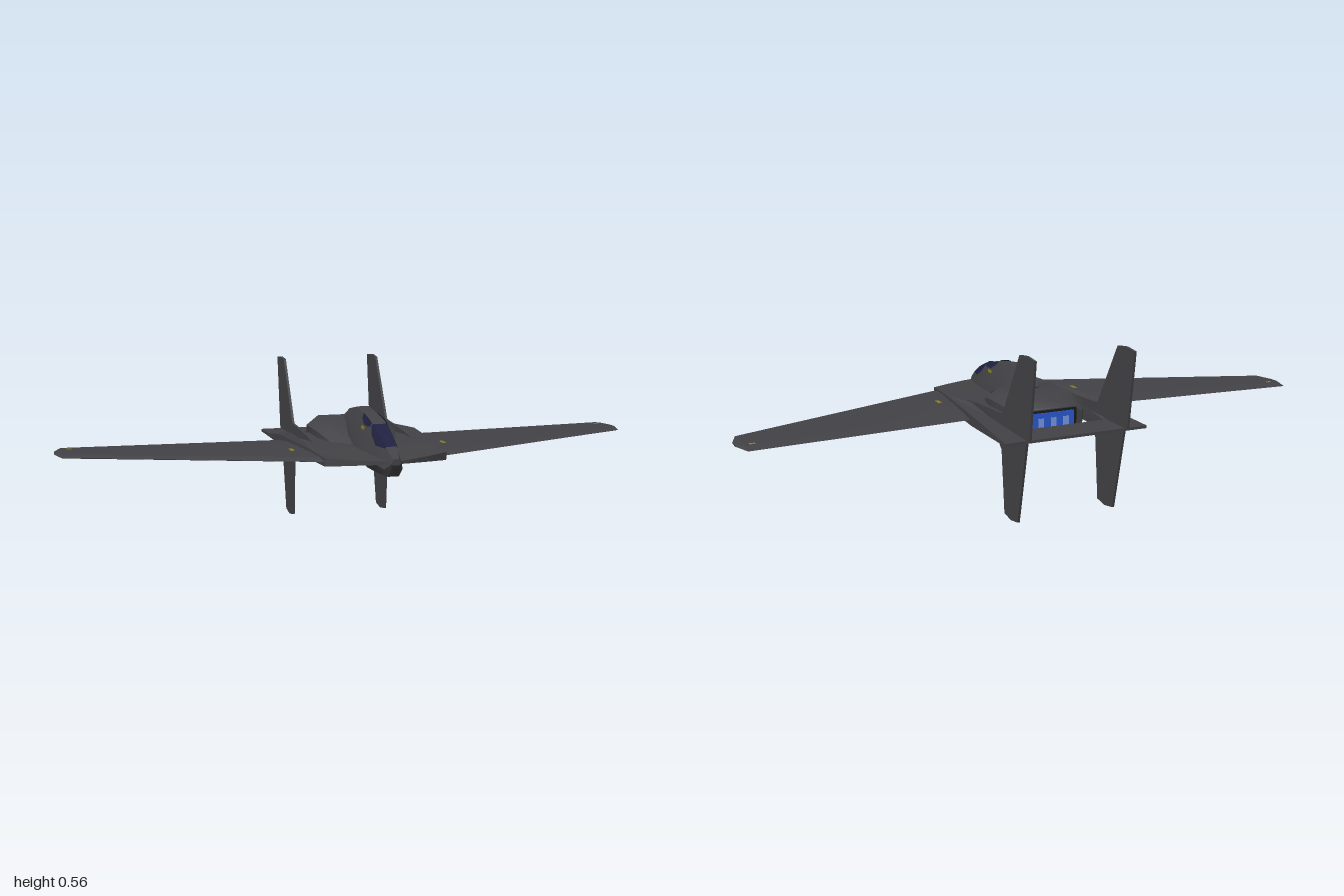
import * as THREE from 'three';
import { toCreasedNormals } from 'three/addons/utils/BufferGeometryUtils.js';

const paint = (name, color, extra = {}) => {
  const m = new THREE.MeshStandardMaterial({ color, ...extra });
  m.name = name;
  return m;
};

// Piecewise-linear lookup in rows [key, values...], keys descending
function lookup(rows, k) {
  let i = 0;
  while (i < rows.length - 2 && k < rows[i + 1][0]) i++;
  const a = rows[i], b = rows[i + 1];
  const t = THREE.MathUtils.clamp((k - a[0]) / (b[0] - a[0]), 0, 1);
  return a.slice(1).map((v, j) => v + (b[j + 1] - v) * t);
}

// Closed solid through equal-length rings of [x, y, z]; faces always turn outward
function loft(rings, crease = 0.5) {
  const tris = [], n = rings[0].length, last = rings[rings.length - 1];
  for (let r = 0; r < rings.length - 1; r++) {
    for (let i = 0; i < n; i++) {
      const j = (i + 1) % n, A = rings[r], B = rings[r + 1];
      tris.push([A[i], A[j], B[j]], [A[i], B[j], B[i]]);
    }
  }
  for (let i = 1; i < n - 1; i++) {
    tris.push([rings[0][0], rings[0][i + 1], rings[0][i]], [last[0], last[i], last[i + 1]]);
  }
  let volume = 0;
  for (const [a, b, c] of tris) {
    const [p, q, s] = [a, b, c].map(v => new THREE.Vector3(v[0], v[1] - 0.3, v[2]));
    volume += p.dot(q.cross(s));
  }
  if (volume < 0) tris.forEach(t => t.reverse());
  const g = new THREE.BufferGeometry();
  g.setAttribute('position', new THREE.Float32BufferAttribute(tris.flat(2), 3));
  return toCreasedNormals(g, crease);
}

// Cockpit pod sections: z, bottom, top, half width, half roof width
const POD = [
  [0.435, 0.30, 0.32, 0.015, 0.01], [0.405, 0.26, 0.337, 0.03, 0.015],
  [0.33, 0.258, 0.375, 0.045, 0.02], [0.24, 0.26, 0.41, 0.058, 0.024],
  [0.18, 0.272, 0.42, 0.06, 0.022], [0.08, 0.30, 0.435, 0.052, 0.02],
  [-0.03, 0.365, 0.413, 0.034, 0.016], [-0.09, 0.384, 0.388, 0.018, 0.01],
];
const podRing = ([z, b, t, w, r]) => {
  const half = [[0.6 * w, b], [w, b + 0.3 * (t - b)], [0.88 * w, b + 0.55 * (t - b)], [r, t]];
  return [...half.map(([x, y]) => [x, y, z]), ...half.reverse().map(([x, y]) => [-x, y, z])];
};

// Glass laid over the pod; stations are [z, lower edge as a fraction from shoulder to roof]
function glass(stations, roof) {
  const pos = [];
  const row = ([z, f]) => {
    const [b, t, w, r] = lookup(POD, z);
    const s = b + 0.55 * (t - b);
    const p = [0.88 * w + (r - 0.88 * w) * f + 0.003, s + (t - s) * f + 0.002, z];
    const q = [r + 0.001, t + 0.003, z];
    const flip = ([x, y, zz]) => [-x, y, zz];
    return [p, q, flip(q), flip(p)];
  };
  for (let k = 0; k < stations.length - 1; k++) {
    const A = row(stations[k]), B = row(stations[k + 1]);
    for (let i = 0; i < 3; i++) {
      if (i === 1 && !roof) continue;
      pos.push(A[i], B[i], B[i + 1], A[i], B[i + 1], A[i + 1]);
    }
  }
  // corners run so that the outside is the front
  for (let i = 0; i < pos.length; i += 3) [pos[i + 1], pos[i + 2]] = [pos[i + 2], pos[i + 1]];
  const g = new THREE.BufferGeometry();
  g.setAttribute('position', new THREE.Float32BufferAttribute(pos.flat(), 3));
  g.computeVertexNormals();
  return g;
}

// Eight-sided section with cut corners: z, bottom, top, half width
const octagon = ([z, b, t, w]) => {
  const h = t - b, c = 0.7 * w;
  return [[c, b], [w, b + 0.22 * h], [w, t - 0.22 * h], [c, t],
    [-c, t], [-w, t - 0.22 * h], [-w, b + 0.22 * h], [-c, b]].map(([x, y]) => [x, y, z]);
};

// Flat centre body with the open bay between the tail booms
function bodyGeometry() {
  const right = [[0.2, 0.335], [0.21, 0.2], [0.235, 0], [0.245, -0.11], [0.248, -0.27], [0.25, -0.385]];
  const outline = [[0, 0.425], [0.06, 0.405], [0.13, 0.373], ...right,
    ...right.slice().reverse().map(([x, z]) => [-x, z]), [-0.13, 0.373], [-0.06, 0.405]];
  const bay = [[0.155, -0.27], [0.14, -0.11], [0.1, -0.09], [-0.1, -0.09], [-0.14, -0.11], [-0.155, -0.27]];
  const pts = list => list.map(([x, z]) => new THREE.Vector2(x, -z));
  const shape = new THREE.Shape(pts(outline));
  shape.holes.push(new THREE.Path(pts(bay)));
  const g = new THREE.ExtrudeGeometry(shape, { depth: 1, bevelEnabled: false });
  g.rotateX(-Math.PI / 2);
  const heights = [[0.425, 0.302, 0.31], [0.33, 0.288, 0.315], [0.1, 0.285, 0.322],
    [-0.11, 0.286, 0.322], [-0.27, 0.288, 0.299], [-0.385, 0.288, 0.297]];
  const p = g.attributes.position;
  for (let i = 0; i < p.count; i++) {
    const [low, high] = lookup(heights, p.getZ(i));
    p.setY(i, p.getY(i) > 0.5 ? high : low);
  }
  g.computeVertexNormals();
  return g;
}

// Thin wing from root to clipped tip
function wingGeometry(side) {
  const sections = [[0.19, 0.336, -0.096, 0.008], [0.975, 0.035, -0.15, 0.005], [0.998, -0.035, -0.085, 0.002]];
  return loft(sections.map(([x, f, b, h]) => {
    const at = (t, y) => [side * x, 0.303 + y, f + (b - f) * t];
    return [at(0, 0), at(0.1, h), at(0.8, h), at(1, 0), at(0.8, -h), at(0.1, -h)];
  }), 0.1);
}

// Upright tail fin with long strakes, above and below the boom
function finGeometry() {
  const profile = [[0.12, 0.318], [0, 0.331], [-0.18, 0.34], [-0.205, 0.342], [-0.33, 0.555], [-0.38, 0.561],
    [-0.435, 0.555], [-0.4, 0.296], [-0.38, 0.29], [-0.315, 0.01], [-0.265, 0.002], [-0.215, 0.01],
    [-0.195, 0.22], [-0.168, 0.245], [-0.14, 0.258], [0, 0.265], [0.12, 0.284]];
  const shape = new THREE.Shape(profile.map(([z, y]) => new THREE.Vector2(-z, y)));
  const g = new THREE.ExtrudeGeometry(shape, { depth: 0.008, bevelEnabled: false });
  return g.translate(0, 0, -0.004).rotateY(Math.PI / 2);
}

export function createModel() {
  const model = new THREE.Group();
  const grey = paint('dark grey hull', 0x434347);
  const navy = paint('navy glass', 0x1f2140, { side: THREE.DoubleSide });
  const yellow = paint('dull yellow marking', 0x8c8120);
  const blue = paint('blue exhaust', 0x2f5bd6);
  const pale = paint('pale blue exhaust', 0x7fa0f0);
  const black = paint('black nozzle', 0x1b1b1e);

  const add = (name, geometry, material, x = 0, y = 0, z = 0) => {
    const mesh = new THREE.Mesh(geometry, material);
    mesh.name = name;
    mesh.position.set(x, y, z);
    model.add(mesh);
    return mesh;
  };
  const plate = (name, w, h, d, material, x, y, z) =>
    add(name, new THREE.BoxGeometry(w, h, d), material, x, y, z);

  add('centreBody', bodyGeometry(), grey);
  add('cockpitPod', loft(POD.map(podRing), 0.6), grey);
  add('windscreen', glass([[0.385, 0.9], [0.33, 0.4], [0.285, 0.62], [0.265, 0.9]], true), navy);
  add('sideWindows', glass([[0.258, 0.85], [0.24, 0.72], [0.205, 0.66], [0.18, 0.78], [0.165, 0.92]], false), navy);

  // Engine housing and the shallow belly ahead of it
  add('engineHousing', loft([
    [0.14, 0.27, 0.318, 0.09], [0.08, 0.258, 0.338, 0.115], [0, 0.23, 0.375, 0.138],
    [-0.15, 0.23, 0.375, 0.138], [-0.2, 0.248, 0.347, 0.115], [-0.21, 0.254, 0.34, 0.108],
  ].map(octagon)), grey);
  add('belly', loft([
    [0.33, 0.283, 0.3, 0.05], [0.15, 0.262, 0.3, 0.09], [-0.14, 0.26, 0.3, 0.13],
  ].map(octagon)), grey);

  // Exhaust at the rear of the housing
  plate('nozzleRim', 0.17, 0.08, 0.006, black, 0, 0.297, -0.211);
  plate('exhaust', 0.15, 0.066, 0.006, blue, 0, 0.297, -0.214);
  for (const x of [-0.045, 0, 0.045]) {
    plate('exhaustCore', 0.02, 0.03, 0.004, pale, x, 0.297, -0.217);
  }

  for (const side of [1, -1]) {
    const label = side > 0 ? 'left' : 'right';
    add(label + 'Wing', wingGeometry(side), grey);
    add(label + 'TailFin', finGeometry(), grey, side * 0.172);
    // Small painted marks
    plate(label + 'WingRootMark', 0.012, 0.002, 0.035, yellow, side * 0.26, 0.3115, 0.14);
    plate(label + 'WingTipMark', 0.018, 0.002, 0.01, yellow, side * 0.95, 0.3085, -0.09);
    plate(label + 'PodMark', 0.004, 0.01, 0.025, yellow, side * 0.0385, 0.384, 0.205);
  }
  return model;
}
